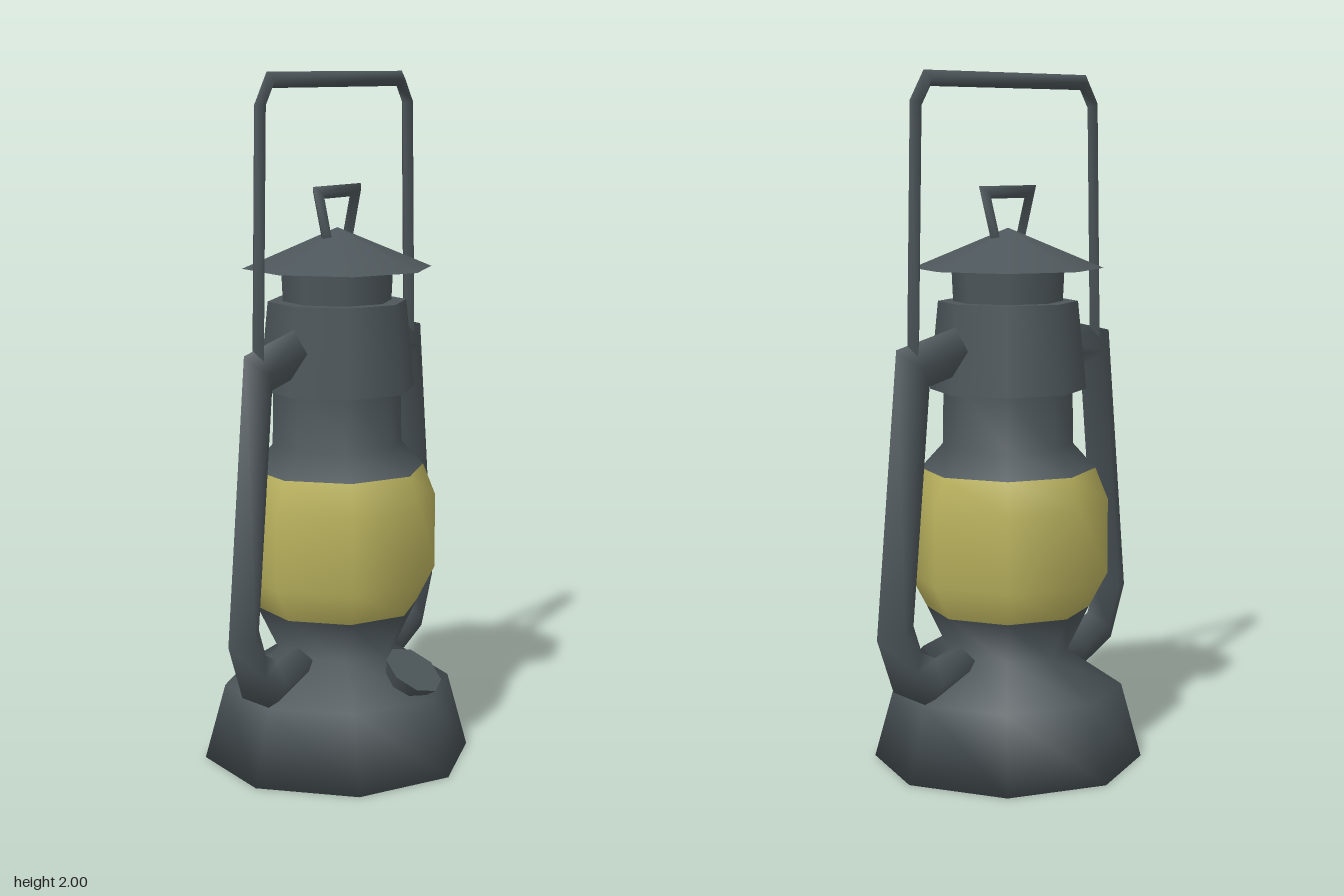
import * as THREE from 'three';

const metal = new THREE.MeshStandardMaterial({ color: 0x4d565a });
metal.name = 'dark metal';
const glass = new THREE.MeshStandardMaterial({ color: 0xbab25e });
glass.name = 'yellow glass';

// Eight-sided turned part; profile of [radius, height] runs upward
function turned(name, material, profile) {
  const points = profile.map(([r, y]) => new THREE.Vector2(r, y));
  const mesh = new THREE.Mesh(new THREE.LatheGeometry(points, 8), material);
  mesh.name = name;
  return mesh;
}

// Mitred diamond-section rod along a path in the xy plane
function rod(name, path, halfWidth, halfDepth) {
  const pts = path.map(([x, y]) => new THREE.Vector2(x, y));
  const positions = [];
  const index = [];
  pts.forEach((p, i) => {
    const before = p.clone().sub(pts[Math.max(i - 1, 0)]).normalize();
    const after = pts[Math.min(i + 1, pts.length - 1)].clone().sub(p).normalize();
    const t = before.clone().add(after).normalize();
    const ref = i === 0 ? after : before;
    const w = halfWidth / t.dot(ref);
    const nx = -t.y * w, ny = t.x * w;
    positions.push(
      p.x + nx, p.y + ny, 0, p.x, p.y, halfDepth,
      p.x - nx, p.y - ny, 0, p.x, p.y, -halfDepth);
    if (i === pts.length - 1) return;
    for (let j = 0; j < 4; j++) {
      const a = i * 4 + j, b = i * 4 + (j + 1) % 4;
      index.push(a, b, a + 4, b, b + 4, a + 4);
    }
  });
  const last = positions.length / 3 - 4;
  index.push(0, 2, 1, 0, 3, 2, last, last + 1, last + 2, last, last + 2, last + 3);
  const geometry = new THREE.BufferGeometry();
  geometry.setAttribute('position', new THREE.Float32BufferAttribute(positions, 3));
  geometry.setIndex(index);
  geometry.computeVertexNormals();
  const mesh = new THREE.Mesh(geometry, metal);
  mesh.name = name;
  return mesh;
}

export function createModel() {
  const lantern = new THREE.Group();
  lantern.name = 'lantern';

  // Body, from the tank up to the roof
  lantern.add(
    turned('fuelTank', metal, [[0, 0], [0.395, 0], [0.335, 0.22], [0.175, 0.325], [0.238, 0.455]]),
    turned('globe', glass, [[0.238, 0.455], [0.292, 0.555], [0.292, 0.775], [0.255, 0.868]]),
    turned('globeShoulder', metal, [[0.255, 0.868], [0.19, 0.94], [0.187, 1.11]]),
    turned('collarUnderside', metal, [[0.15, 1.1], [0.227, 1.1]]),
    turned('collar', metal, [[0.227, 1.1], [0.202, 1.355]]),
    turned('collarTop', metal, [[0.202, 1.355], [0.1, 1.355]]),
    turned('chimney', metal, [[0.158, 1.35], [0.163, 1.455]]),
    turned('roofUnderside', metal, [[0, 1.45], [0.275, 1.45]]),
    turned('roof', metal, [[0.275, 1.45], [0, 1.565]]));

  // Side tubes, mirrored
  const sidePath = [[0.15, 1.235], [0.37, 1.188], [0.443, 0.45], [0.398, 0.33], [0.3, 0.28], [0.15, 0.31]];
  for (const side of [1, -1]) {
    lantern.add(rod(side > 0 ? 'leftTube' : 'rightTube', sidePath.map(([x, y]) => [x * side, y]), 0.067, 0.04));
  }

  // Carrying handle and the small lifting ring on the roof
  const mirrored = (half) => [...half, ...half.slice().reverse().map(([x, y]) => [-x, y])];
  lantern.add(
    rod('carryingHandle', mirrored([[-0.37, 1.2], [-0.354, 1.915], [-0.312, 1.982]]), 0.022, 0.02),
    rod('liftingRing', mirrored([[-0.04, 1.5], [-0.091, 1.667]]), 0.018, 0.018));

  // Filler cap lying on the sloped top of the tank
  const cap = new THREE.Mesh(new THREE.CylinderGeometry(0.09, 0.06, 0.06, 8), metal);
  cap.name = 'fillerCap';
  cap.rotation.x = 0.585;
  cap.position.set(0, 0.275, 0.257);
  lantern.add(cap);

  return lantern;
}
